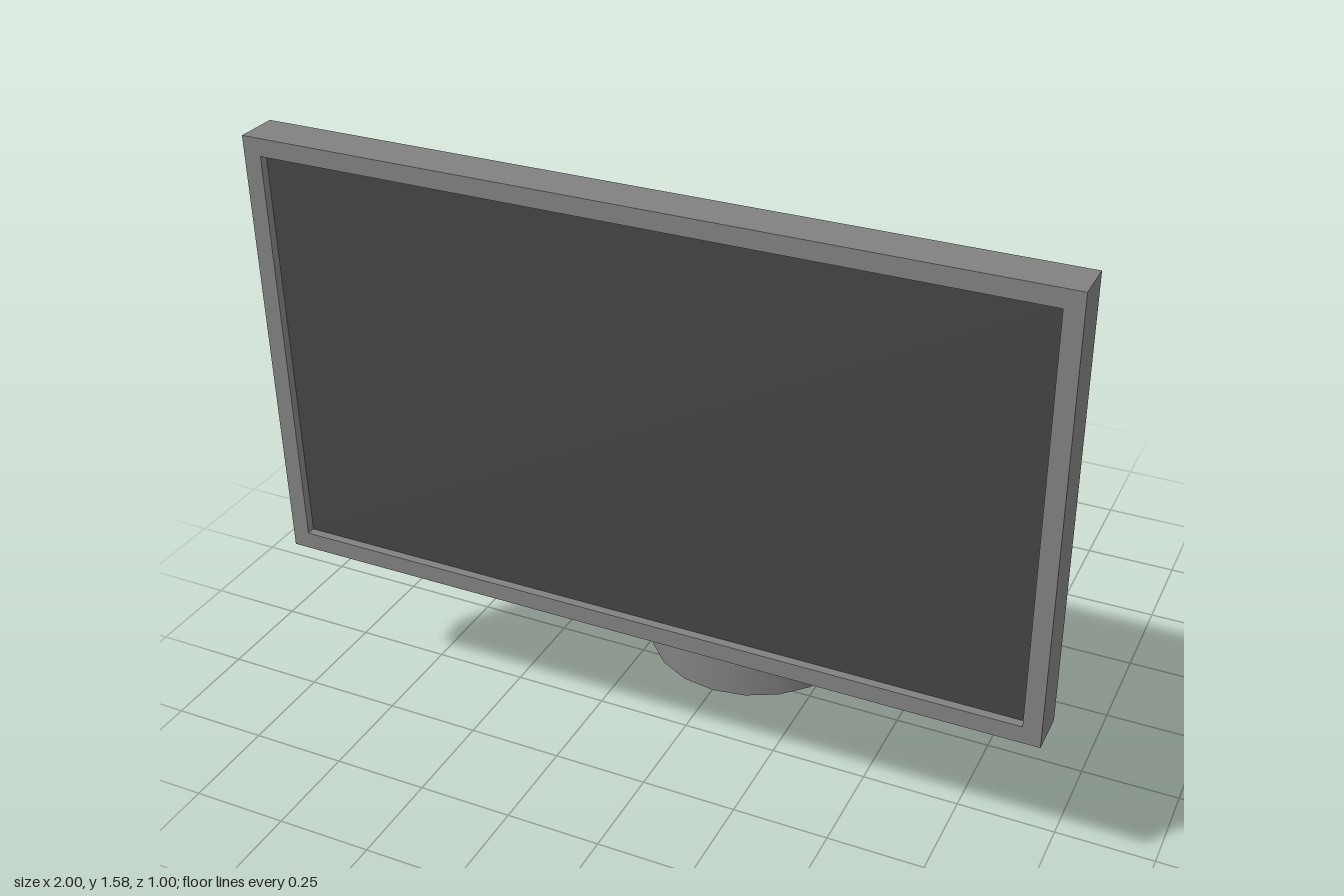
import * as THREE from 'three';

const body = new THREE.MeshStandardMaterial({ color: 0x808080 });
const dark = new THREE.MeshStandardMaterial({ color: 0x444444 });

function add(parent, name, geometry, material, x, y, z) {
  const mesh = new THREE.Mesh(geometry, material);
  mesh.name = name;
  mesh.position.set(x, y, z);
  parent.add(mesh);
  return mesh;
}

// Rectangle outline, centred on the origin
function rectangle(PathType, w, h) {
  return new PathType([
    new THREE.Vector2(-w / 2, -h / 2), new THREE.Vector2(w / 2, -h / 2),
    new THREE.Vector2(w / 2, h / 2), new THREE.Vector2(-w / 2, h / 2),
  ]);
}

export function createModel() {
  const model = new THREE.Group();
  model.name = 'monitor';
  const standZ = -0.208, jointY = 0.74;

  // Stand: round foot, upright post and ball joint
  const stand = new THREE.Group();
  stand.name = 'stand';
  model.add(stand);
  add(stand, 'base', new THREE.CylinderGeometry(0.292, 0.292, 0.11, 20), body, 0, 0.055, standZ);
  add(stand, 'post', new THREE.CylinderGeometry(0.079, 0.079, jointY - 0.11, 32), body, 0, (jointY + 0.11) / 2, standZ);
  add(stand, 'ballJoint', new THREE.SphereGeometry(0.11, 32, 20), body, 0, jointY, standZ);

  // Arm rising from the joint into the back of the panel
  const from = new THREE.Vector3(0, 0.755, standZ);
  const to = new THREE.Vector3(0, 0.866, 0.42);
  const direction = to.clone().sub(from);
  const arm = add(stand, 'arm', new THREE.CylinderGeometry(0.079, 0.079, direction.length(), 32), body, 0, 0, 0);
  arm.position.copy(from).add(to).multiplyScalar(0.5);
  arm.quaternion.setFromUnitVectors(new THREE.Vector3(0, 1, 0), direction.normalize());

  // Panel: back shell, raised bezel and recessed screen
  const panel = new THREE.Group();
  panel.name = 'panel';
  panel.position.set(0, 1.015, 0);
  model.add(panel);
  const w = 2, h = 1.13, border = 0.045, back = 0.392, front = 0.5, recess = 0.022;
  const depth = front - back;
  const frame = rectangle(THREE.Shape, w, h);
  frame.holes.push(rectangle(THREE.Path, w - 2 * border, h - 2 * border));
  add(panel, 'bezel', new THREE.ExtrudeGeometry(frame, { depth, bevelEnabled: false }), body, 0, 0, back);
  const inner = [w - 2 * border, h - 2 * border];
  add(panel, 'backShell', new THREE.BoxGeometry(...inner, 0.06), body, 0, 0, back + 0.03);
  add(panel, 'screen', new THREE.BoxGeometry(...inner, 0.02), dark, 0, 0, front - recess - 0.01);

  return model;
}
